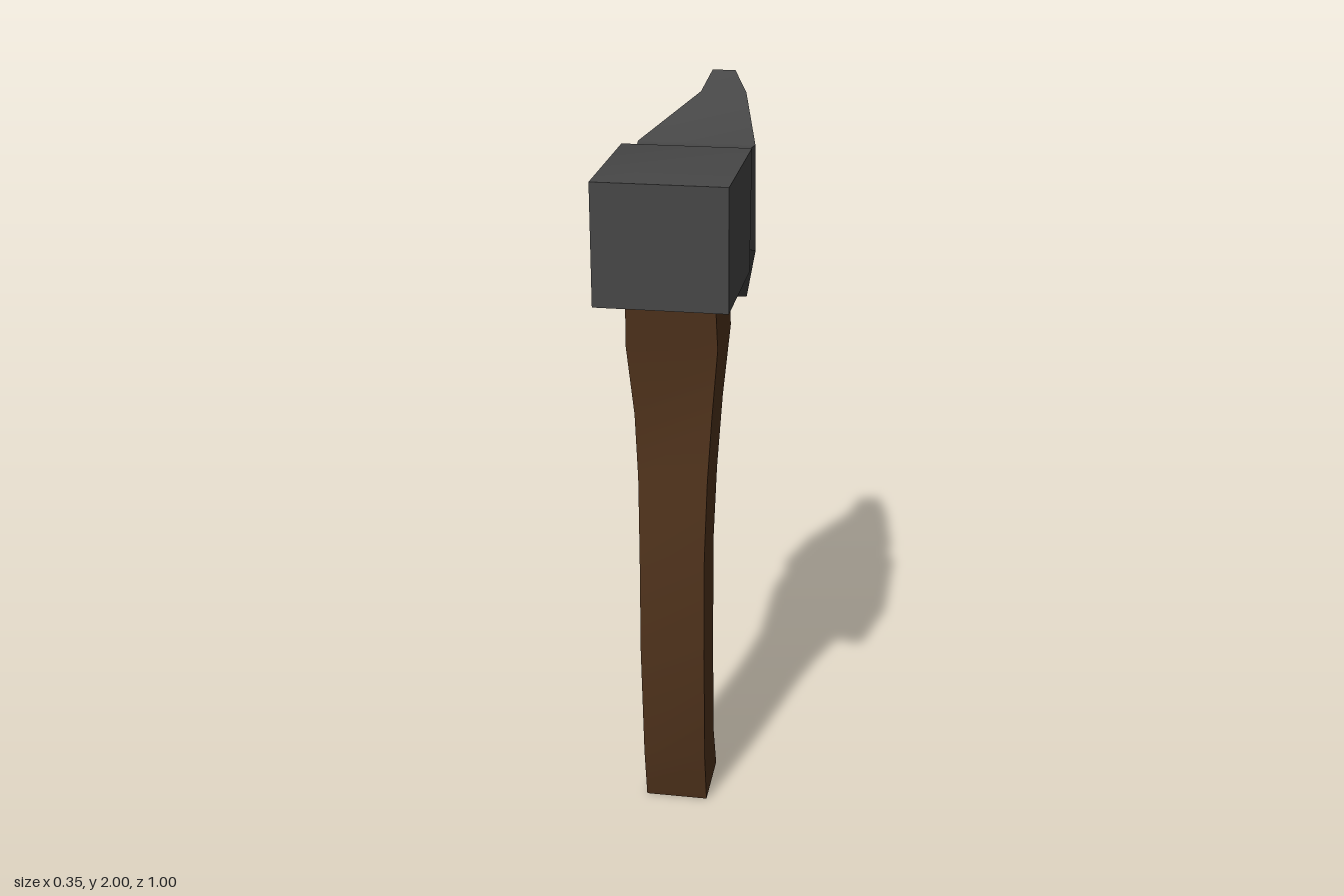
import * as THREE from 'three';
import { toCreasedNormals } from 'three/addons/utils/BufferGeometryUtils.js';

// Skin a series of rings and close both ends with strips of quads.
function loft(rings, crease) {
  const n = rings[0].length, index = [];
  const quad = (a, b, c, d) => index.push(a, b, c, a, c, d);
  for (let i = 0; i < rings.length - 1; i++) {
    for (let j = 0; j < n; j++) {
      const k = (j + 1) % n;
      quad(i * n + j, i * n + k, (i + 1) * n + k, (i + 1) * n + j);
    }
  }
  const last = (rings.length - 1) * n;
  for (let j = 0; j < n / 2 - 1; j++) {
    quad(j, n - 1 - j, n - 2 - j, j + 1);
    quad(last + j, last + j + 1, last + n - 2 - j, last + n - 1 - j);
  }
  const geo = new THREE.BufferGeometry();
  geo.setAttribute('position', new THREE.Float32BufferAttribute(rings.flat(2), 3));
  geo.setIndex(index);
  return toCreasedNormals(geo, crease);
}

function part(name, geometry, color) {
  const mesh = new THREE.Mesh(geometry, new THREE.MeshStandardMaterial({ color }));
  mesh.name = name;
  return mesh;
}

export function createModel() {
  const group = new THREE.Group();
  group.name = 'axe';

  // Handle: curved four-sided shaft [half width, front z, front y, back z, back y]
  const handle = [
    [0.088, 0.28, 0.0, 0.1, 0.015],
    [0.088, 0.315, 0.16, 0.155, 0.165],
    [0.09, 0.343, 0.5, 0.183, 0.5],
    [0.09, 0.343, 0.8, 0.18, 0.8],
    [0.095, 0.326, 1.02, 0.157, 1.0],
    [0.105, 0.316, 1.2, 0.125, 1.2],
    [0.123, 0.335, 1.4, 0.105, 1.4],
    [0.118, 0.357, 1.58, 0.133, 1.58],
  ].map(([w, zf, yf, zb, yb]) => [[w, yf, zf], [w, yb, zb], [-w, yb, zb], [-w, yf, zf]]);
  group.add(part('handle', loft(handle, 0.5), 0x50331c));

  // Head: poll, neck and flare [left x, right x, bottom z, bottom y, top z, top y]
  const rows = [0, 0.23, 0.42, 0.6, 0.81, 1];
  const head = [
    [-0.176, 0.175, 0.492, 1.55, 0.5, 1.876],
    [-0.176, 0.175, 0.12, 1.555, 0.1, 1.886],
    [-0.155, 0.153, -0.02, 1.576, 0.0, 1.86],
    [-0.163, 0.162, -0.09, 1.555, -0.06, 1.86],
    [-0.028, 0.102, -0.35, 1.34, -0.3, 1.955],
  ].map(([x0, x1, zb, yb, zt, yt]) => {
    const side = (x) => rows.map((t) => [x, yb + (yt - yb) * t, zb + (zt - zb) * t]);
    return [...side(x0), ...side(x1).reverse()];
  });

  // Blunt curved cutting edge [left x, right x, y, z]
  const edge = [
    [-0.01, 0.06, 1.308, -0.455],
    [0.0, 0.045, 1.47, -0.487],
    [0.002, 0.038, 1.6, -0.498],
    [0.002, 0.04, 1.725, -0.486],
    [-0.003, 0.048, 1.87, -0.45],
    [-0.01, 0.056, 2.0, -0.397],
  ];
  head.push([
    ...edge.map(([x0, , y, z]) => [x0, y, z]),
    ...edge.map(([, x1, y, z]) => [x1, y, z]).reverse(),
  ]);
  group.add(part('axeHead', loft(head, 0.45), 0x474747));

  return group;
}
